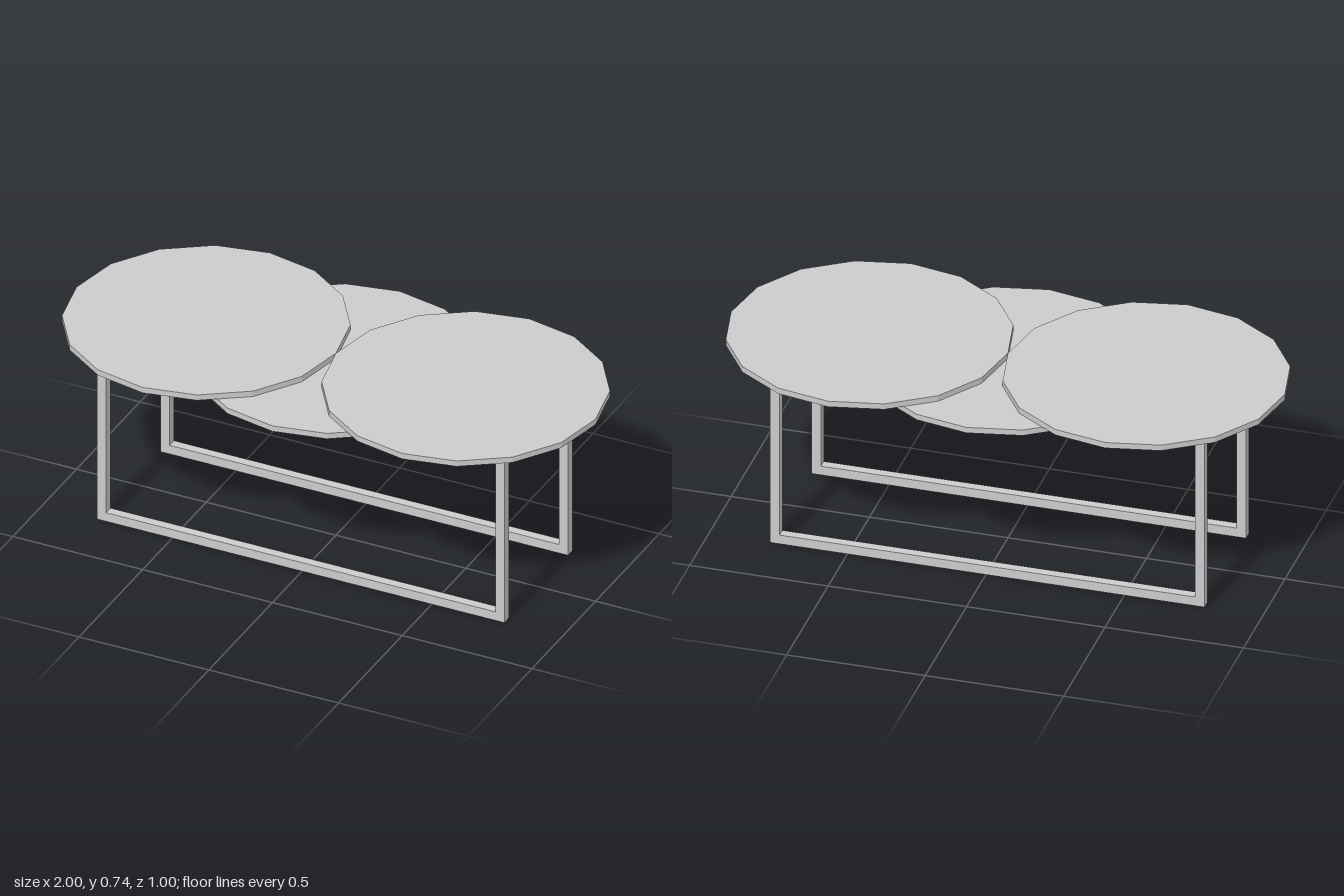
import * as THREE from 'three';

const material = new THREE.MeshStandardMaterial({ color: 0xcccccc, flatShading: true });

// Flat sixteen-sided disc with its underside at the given height
function makeDisc(name, x, bottom) {
  const thickness = 0.022;
  const disc = new THREE.Mesh(new THREE.CylinderGeometry(0.5, 0.5, thickness, 16), material);
  disc.name = name;
  disc.position.set(x, bottom + thickness / 2, 0);
  return disc;
}

// U-shaped frame of square bar: floor runner with a leg at each end
function makeFrame(name, z) {
  const bar = 0.035, left = 0.78, right = -0.79, top = 0.715;
  const outline = new THREE.Shape([
    [right, 0], [left, 0], [left, top], [left - bar, top],
    [left - bar, bar], [right + bar, bar], [right + bar, top], [right, top],
  ].map(([x, y]) => new THREE.Vector2(x, y)));
  const geometry = new THREE.ExtrudeGeometry(outline, { depth: bar, bevelEnabled: false });
  geometry.translate(0, 0, -bar / 2);
  const frame = new THREE.Mesh(geometry, material);
  frame.name = name;
  frame.position.z = z;
  return frame;
}

export function createModel() {
  const table = new THREE.Group();
  table.name = 'table';
  table.add(
    // Two upper tops touching at the centre, resting on a lower middle disc
    makeDisc('leftTop', 0.5, 0.715),
    makeDisc('rightTop', -0.5, 0.715),
    makeDisc('middleTop', 0, 0.693),
    // Front and back leg frames
    makeFrame('frontFrame', 0.25),
    makeFrame('backFrame', -0.25),
  );
  return table;
}
